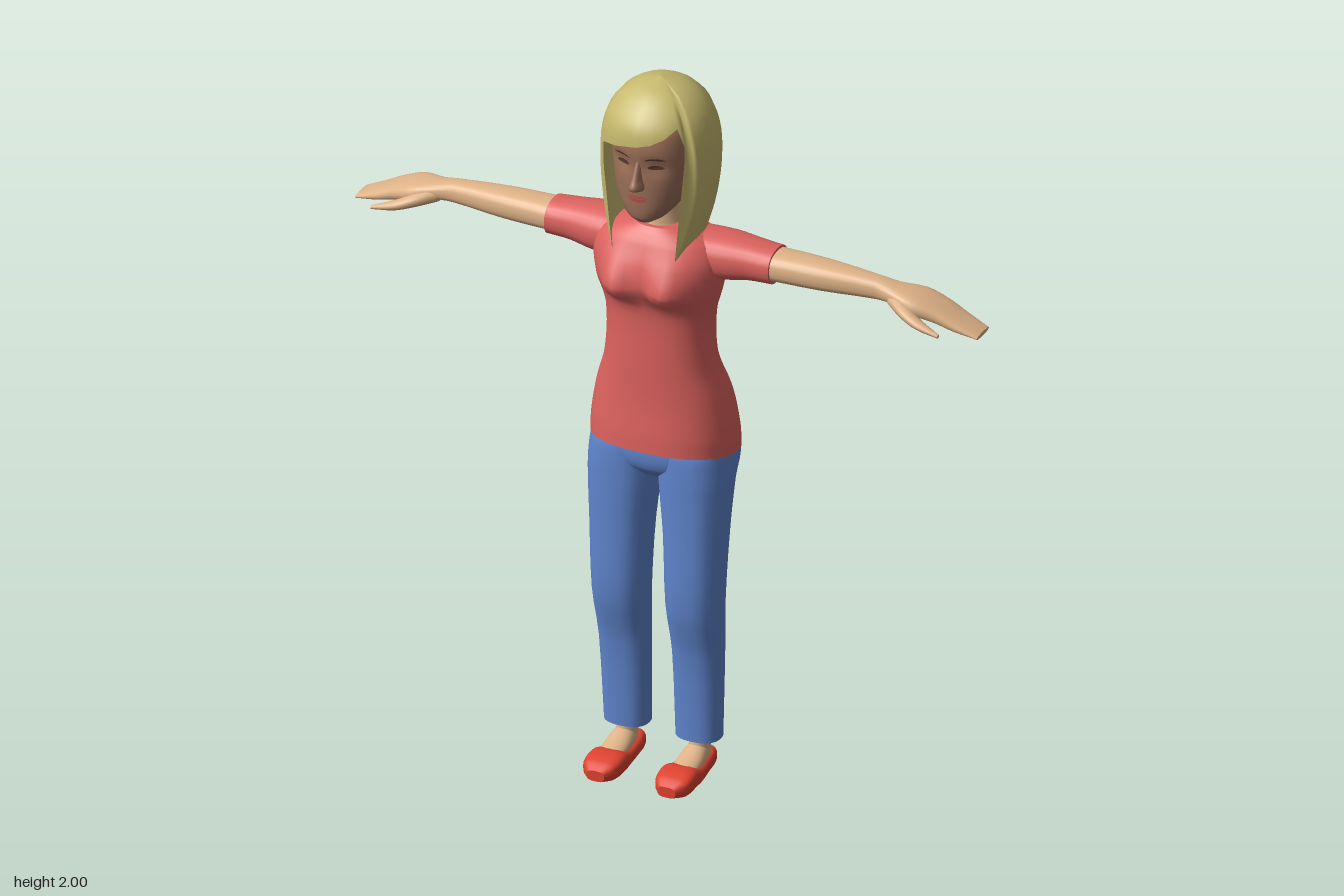
import * as THREE from 'three';

const mat = (name, color, side = THREE.FrontSide) => {
  const m = new THREE.MeshStandardMaterial({ color, side });
  m.name = name;
  return m;
};

// Smooth interpolation of a table whose first column is the position along the axis
function at(rows, t) {
  const n = rows.length;
  let k = 0;
  while (k < n - 2 && t > rows[k + 1][0]) k++;
  const p = rows[k], q = rows[k + 1], h = q[0] - p[0];
  const u = THREE.MathUtils.clamp((t - p[0]) / h, 0, 1);
  const slope = (i, c) => {
    const a = rows[Math.max(i - 1, 0)], b = rows[Math.min(i + 1, n - 1)];
    return (b[c] - a[c]) / (b[0] - a[0]);
  };
  return p.map((v, c) => c === 0 ? t :
    v * (2 * u ** 3 - 3 * u * u + 1) + q[c] * (3 * u * u - 2 * u ** 3) +
    h * (slope(k, c) * (u ** 3 - 2 * u * u + u) + slope(k + 1, c) * (u ** 3 - u * u)));
}

// Grid of points (rows by columns) to an indexed geometry
function grid(points, cols, extra = []) {
  const idx = [...extra], n = points.length / cols;
  for (let i = 0; i < n - 1; i++) for (let j = 0; j < cols - 1; j++) {
    const a = i * cols + j, b = a + 1, c = a + cols, d = c + 1;
    idx.push(a, b, c, b, d, c);
  }
  return idx;
}

function build(points, idx) {
  const g = new THREE.BufferGeometry();
  g.setAttribute('position', new THREE.Float32BufferAttribute(points.flat(), 3));
  g.setIndex(idx);
  g.computeVertexNormals();
  return g;
}

// Capped loft; rows are [t, aMin, aMax, bMin, bMax]; axis y: a=x b=z, axis x: a=z b=y, axis z: a=y b=x
function loft(axis, rows, { pow = 2, segs = 24, steps = 3, warp = null, tilt = null } = {}) {
  const place = { y: (t, a, b) => [a, t, b], x: (t, a, b) => [t, b, a], z: (t, a, b) => [b, a, t] }[axis];
  const bend = (v) => Math.sign(v) * Math.abs(v) ** (2 / pow);
  const ts = [rows[0][0]];
  for (let i = 1; i < rows.length; i++) for (let s = 1; s <= steps; s++)
    ts.push(rows[i - 1][0] + (rows[i][0] - rows[i - 1][0]) * s / steps);
  const pts = [];
  for (const t of ts) {
    const [, a0, a1, b0, b1] = at(rows, t);
    for (let j = 0; j < segs; j++) {
      const th = j / segs * Math.PI * 2;
      const p = place(t, (a0 + a1) / 2 + (a1 - a0) / 2 * bend(Math.sin(th)),
        (b0 + b1) / 2 + (b1 - b0) / 2 * bend(Math.cos(th)));
      if (warp) p[2] += warp(p[0], p[1], p[2]);
      if (tilt) p[1] += tilt(t) * p[2];
      pts.push(p);
    }
  }
  const idx = [], n = ts.length;
  for (let i = 0; i < n - 1; i++) for (let j = 0; j < segs; j++) {
    const k = (j + 1) % segs, a = i * segs + j, b = i * segs + k, c = a + segs, d = b + segs;
    idx.push(a, b, c, b, d, c);
  }
  for (const end of [0, n - 1]) {
    const ring = pts.slice(end * segs, end * segs + segs), base = pts.length;
    pts.push(...ring, [0, 1, 2].map((c) => ring.reduce((s, p) => s + p[c], 0) / segs));
    for (let j = 0; j < segs; j++) {
      const k = (j + 1) % segs;
      idx.push(base + segs, ...(end ? [base + j, base + k] : [base + k, base + j]));
    }
  }
  return build(pts, idx);
}

function mirrored(g) {
  const m = g.clone().scale(-1, 1, 1), a = m.index.array;
  for (let i = 0; i < a.length; i += 3) [a[i], a[i + 1]] = [a[i + 1], a[i]];
  m.computeVertexNormals();
  return m;
}

export function createModel() {
  const model = new THREE.Group();
  model.name = 'standingWoman';
  const skin = mat('skin', 0xdfb388), faceSkin = mat('faceSkin', 0x9c7058), shirt = mat('shirtRed', 0xdc625e),
    denim = mat('denimBlue', 0x6086cf), hairMat = mat('blondHair', 0xc6b86e, THREE.DoubleSide),
    shoeMat = mat('shoeRed', 0xe0422f), lipMat = mat('lips', 0xb8504a, THREE.DoubleSide),
    dark = mat('eyeBrown', 0x553a2e, THREE.DoubleSide);
  const add = (name, g, m) => {
    const mesh = new THREE.Mesh(g, m);
    mesh.name = name;
    model.add(mesh);
  };
  const pair = (name, g, m) => {
    add(name + 'Left', g, m);
    add(name + 'Right', mirrored(g), m);
  };

  // Shirt body with bust and a hem that dips at the back
  const bust = (x, y, z) => z < 0.03 ? 0 : 0.054 * Math.exp(-(((Math.abs(x) - 0.07) / 0.055) ** 2)) *
    Math.exp(-(((y - 1.43) / (y > 1.43 ? 0.07 : 0.032)) ** 2));
  add('shirtBody', loft('y', [
    [0.94, -0.197, 0.197, -0.177, 0.12], [1.0, -0.195, 0.195, -0.172, 0.117], [1.1, -0.178, 0.178, -0.146, 0.108],
    [1.2, -0.149, 0.149, -0.113, 0.105], [1.33, -0.146, 0.146, -0.105, 0.102], [1.43, -0.172, 0.172, -0.106, 0.112],
    [1.5, -0.177, 0.177, -0.108, 0.115], [1.55, -0.155, 0.155, -0.1, 0.098], [1.578, -0.11, 0.11, -0.088, 0.08],
    [1.593, -0.07, 0.07, -0.07, 0.066]],
  { pow: 2.3, segs: 36, steps: 5, warp: bust, tilt: (t) => 0.17 * Math.max(0, 1 - (t - 0.94) / 0.12) }), shirt);
  pair('sleeve', loft('x', [[0.08, -0.09, 0.06, 1.46, 1.575], [0.18, -0.1, 0.048, 1.45, 1.572],
    [0.25, -0.09, 0.036, 1.461, 1.566], [0.318, -0.086, 0.032, 1.464, 1.56]], { pow: 2.3 }), shirt);

  // Arm running into a flat mitten hand, with a separate thumb
  pair('arm', loft('x', [[0.3, -0.08, 0.025, 1.474, 1.553], [0.45, -0.078, 0.015, 1.474, 1.549],
    [0.6, -0.07, -0.005, 1.479, 1.536], [0.65, -0.077, 0.0, 1.478, 1.526], [0.71, -0.106, 0.012, 1.464, 1.514],
    [0.77, -0.11, -0.007, 1.445, 1.49], [0.82, -0.108, -0.016, 1.43, 1.463], [0.883, -0.1, -0.028, 1.42, 1.431]],
  { pow: 2.6 }), skin);
  pair('thumb', loft('x', [[0.64, -0.04, -0.003, 1.475, 1.515], [0.69, -0.02, 0.03, 1.462, 1.5],
    [0.74, 0.008, 0.045, 1.45, 1.478], [0.805, 0.032, 0.045, 1.443, 1.453]], { segs: 12 }), skin);

  // Jeans
  add('jeansHips', loft('y', [[0.865, -0.05, 0.05, -0.07, 0.06], [0.9, -0.15, 0.15, -0.125, 0.09],
    [0.96, -0.185, 0.185, -0.14, 0.094], [1.0, -0.17, 0.17, -0.12, 0.08]], { pow: 2.4 }), denim);
  pair('jeansLeg', loft('y', [[0.1, 0.04, 0.163, -0.065, 0.035], [0.35, 0.036, 0.172, -0.062, 0.052],
    [0.5, 0.03, 0.179, -0.058, 0.088], [0.7, 0.022, 0.187, -0.074, 0.092], [0.85, 0.006, 0.195, -0.102, 0.094],
    [0.91, -0.002, 0.196, -0.138, 0.094], [0.96, -0.005, 0.188, -0.138, 0.09], [1.0, 0, 0.17, -0.11, 0.07]],
  { pow: 2.4 }), denim);

  // Ankles, feet and slip-on shoes
  pair('ankle', loft('y', [[0.04, 0.074, 0.132, -0.05, 0.03], [0.08, 0.076, 0.13, -0.046, 0.018],
    [0.15, 0.076, 0.13, -0.045, 0.015]]), skin);
  pair('foot', loft('z', [[-0.045, 0.02, 0.055, 0.08, 0.124], [0, 0.02, 0.084, 0.072, 0.134],
    [0.05, 0.02, 0.071, 0.068, 0.139], [0.11, 0.02, 0.055, 0.07, 0.138]]), skin);
  pair('shoe', loft('z', [[-0.063, 0.012, 0.045, 0.085, 0.12], [-0.048, 0.003, 0.055, 0.066, 0.136],
    [0, 0.001, 0.047, 0.06, 0.142], [0.06, 0, 0.048, 0.055, 0.15], [0.1, 0, 0.062, 0.05, 0.152],
    [0.15, 0.001, 0.054, 0.055, 0.15], [0.18, 0.008, 0.038, 0.076, 0.126]], { pow: 3.2 }), shoeMat);

  // Neck and head
  add('neck', loft('y', [[1.57, -0.068, 0.068, -0.068, 0.064], [1.598, -0.056, 0.056, -0.06, 0.052],
    [1.7, -0.048, 0.048, -0.06, 0.05]]), skin);
  const headRows = [[1.632, -0.025, 0.025, 0.06, 0.118], [1.65, -0.055, 0.055, 0.0, 0.134],
    [1.7, -0.09, 0.09, -0.06, 0.139], [1.78, -0.11, 0.11, -0.1, 0.14], [1.86, -0.114, 0.114, -0.12, 0.141],
    [1.92, -0.1, 0.1, -0.1, 0.115], [1.96, -0.05, 0.05, -0.05, 0.055]];
  const sockets = (x, y, z) => z < 0.04 ? 0 :
    -0.013 * Math.exp(-(((Math.abs(x) - 0.046) / 0.026) ** 2) - ((y - 1.805) / 0.02) ** 2);
  add('head', loft('y', headRows, { pow: 2.2, segs: 40, steps: 5, warp: sockets }), faceSkin);
  add('nose', loft('y', [[1.733, -0.016, 0.016, 0.1, 0.143], [1.748, -0.02, 0.02, 0.1, 0.176],
    [1.772, -0.013, 0.013, 0.1, 0.165], [1.82, -0.009, 0.009, 0.1, 0.141]], { segs: 14 }), faceSkin);

  // Thin painted patches that follow the face
  const faceZ = (x, y) => {
    const [, , rx, z0, z1] = at(headRows, y);
    const z = (z0 + z1) / 2 + (z1 - z0) / 2 * (1 - Math.abs(x / rx) ** 2.2) ** (1 / 2.2);
    return z + sockets(x, y, z) + 0.004;
  };
  const patch = (x, y, w, h, arch = 0) => {
    const pts = [], cols = 9;
    for (const v of [-1, 0, 1]) for (let j = 0; j < cols; j++) {
      const u = j / 4 - 1, px = x + u * w, py = y + v * h * Math.sqrt(1.02 - u * u) - arch * u * u;
      pts.push([px, py, faceZ(px, py)]);
    }
    return build(pts, grid(pts, cols));
  };
  pair('eye', patch(0.046, 1.804, 0.02, 0.006), dark);
  pair('eyebrow', patch(0.047, 1.832, 0.026, 0.003, 0.005), dark);
  add('upperLip', patch(0, 1.717, 0.03, 0.0035, 0.002), lipMat);
  add('lowerLip', patch(0, 1.706, 0.026, 0.005, -0.005), lipMat);

  // Long hair: a shell whose lower edge varies with the angle (degrees from front)
  const shell = [[1.5, 0.092, 0.215, 0.105], [1.6, 0.128, 0.182, 0.125], [1.7, 0.152, 0.155, 0.148],
    [1.82, 0.156, 0.152, 0.158], [1.9, 0.139, 0.147, 0.146], [1.95, 0.108, 0.112, 0.114],
    [1.985, 0.06, 0.062, 0.062], [2.0, 0, 0, 0]];
  const edge = [[-56, 1.82], [-46, 1.835], [-25, 1.85], [0, 1.865], [15, 1.876], [30, 1.893], [45, 1.915],
    [51, 1.85], [58, 1.54], [62, 1.515], [70, 1.54], [82, 1.565], [100, 1.572], [120, 1.572], [140, 1.572],
    [160, 1.575], [180, 1.575], [200, 1.575], [220, 1.572], [240, 1.572], [260, 1.572], [278, 1.565],
    [290, 1.54], [298, 1.515], [301, 1.535], [304, 1.82]];
  const hairPts = [], rows = 18;
  for (let i = rows; i >= 0; i--) for (const [deg, low] of edge) {
    const y = 2 - (2 - low) * (i / rows) ** 1.7, th = deg * Math.PI / 180, c = Math.cos(th);
    const [, rx, zf, zb] = at(shell, y);
    hairPts.push([rx * Math.sin(th), y, c * (c > 0 ? zf : zb)]);
  }
  add('hair', build(hairPts, grid(hairPts, edge.length)), hairMat);

  return model;
}
